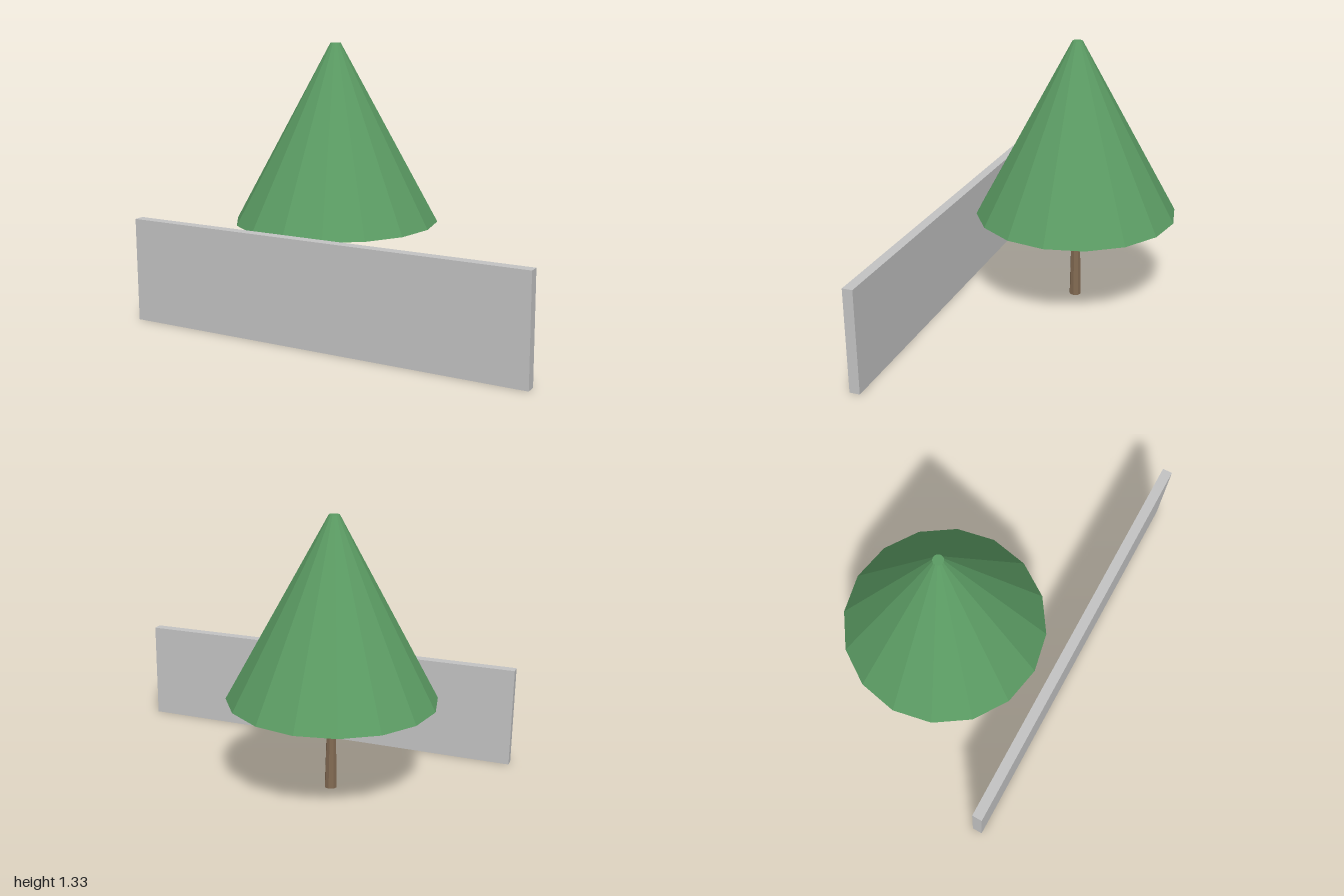
import * as THREE from 'three';

export function createModel() {
  const group = new THREE.Group();

  const material = (name, color) => {
    const m = new THREE.MeshStandardMaterial({ color, flatShading: true });
    m.name = name;
    return m;
  };
  const leafGreen = material('leaf green', 0x5b9b63);
  const barkBrown = material('bark brown', 0x826a52);
  const wallGrey = material('wall grey', 0xc3c3c3);

  const add = (name, geometry, mat, x, y, z, parent = group) => {
    const mesh = new THREE.Mesh(geometry, mat);
    mesh.name = name;
    mesh.position.set(x, y, z);
    parent.add(mesh);
  };

  // Tree: tapered trunk under a faceted, blunt-tipped cone
  const tree = new THREE.Group();
  tree.name = 'tree';
  tree.position.set(-0.25, 0, -0.0625);
  group.add(tree);

  const trunkHeight = 0.455;
  const crownHeight = 0.873;
  add('trunk', new THREE.CylinderGeometry(0.02, 0.03, trunkHeight, 8), barkBrown,
    0, trunkHeight / 2, 0, tree);
  add('crown', new THREE.CylinderGeometry(0.025, 0.5, crownHeight, 16), leafGreen,
    0, trunkHeight + crownHeight / 2, 0, tree);

  // Low straight wall in front of the tree
  add('wall', new THREE.BoxGeometry(2, 0.5, 0.05), wallGrey, 0, 0.25, 0.5375);

  return group;
}
